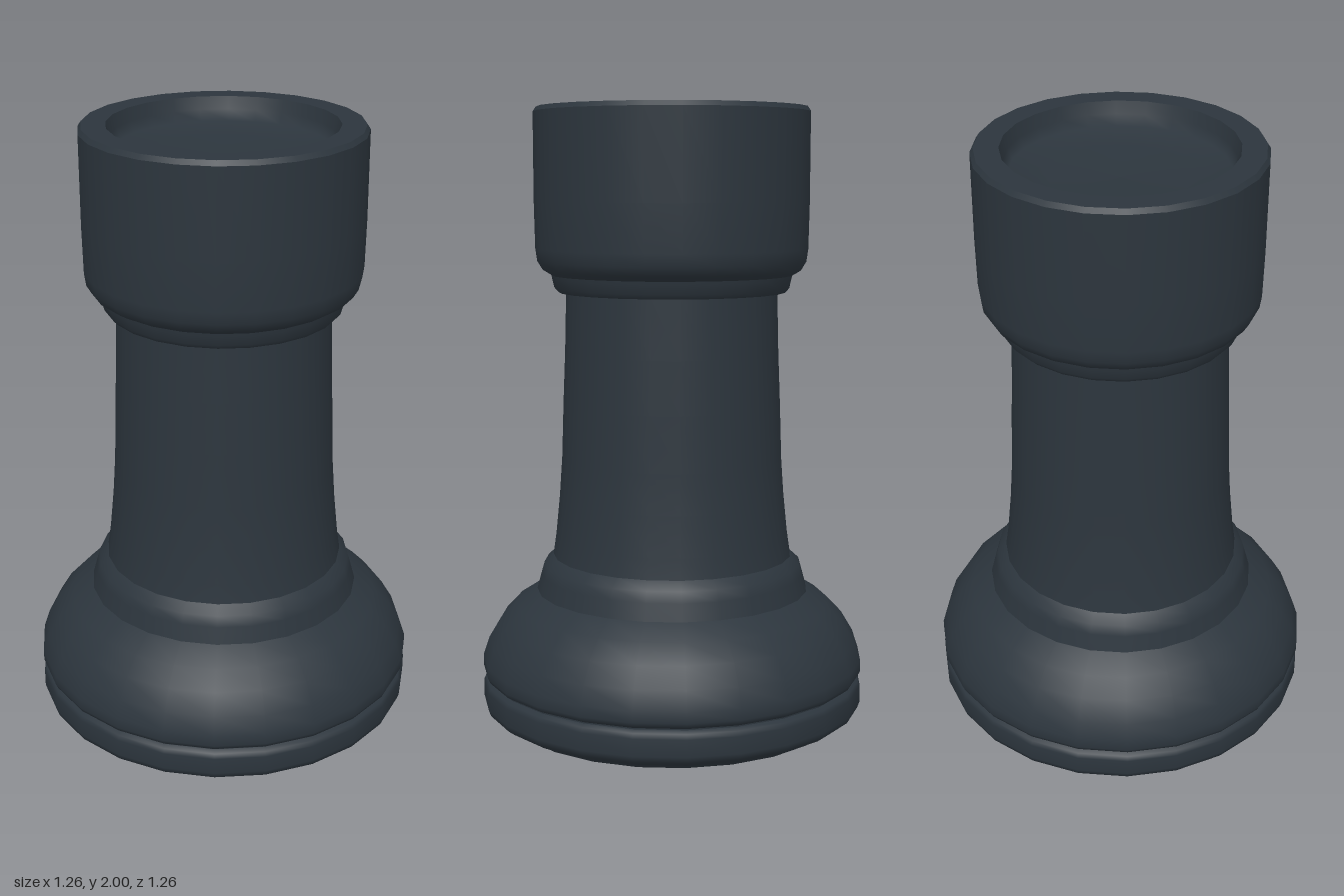
import * as THREE from 'three';

const SIDES = 24;

export function createModel() {
  const group = new THREE.Group();
  group.name = 'rook';
  const slate = new THREE.MeshStandardMaterial({ color: 0x2c353d });
  slate.name = 'dark slate';

  // Each turned section is its own lathe, so normals stay sharp between sections.
  // Profiles are [radius, height], running upward along the outside.
  const turn = (name, profile) => {
    const points = profile.map(([r, y]) => new THREE.Vector2(r, y));
    const mesh = new THREE.Mesh(new THREE.LatheGeometry(points, SIDES), slate);
    mesh.name = name;
    group.add(mesh);
  };

  // Foot: flat underside, recessed step and a rounded disc
  turn('underside', [[0, 0], [0.56, 0]]);
  turn('footStep', [[0.56, 0], [0.58, 0.025]]);
  turn('footLedge', [[0.58, 0.025], [0.605, 0.025]]);
  turn('footDisc', [[0.605, 0.025], [0.625, 0.04], [0.632, 0.06], [0.632, 0.115], [0.625, 0.13], [0.61, 0.138]]);

  // Groove and the domed base above it
  turn('baseGroove', [[0.61, 0.138], [0.61, 0.142]]);
  turn('base', [
    [0.61, 0.142], [0.625, 0.15], [0.632, 0.165], [0.632, 0.2], [0.612, 0.26],
    [0.573, 0.325], [0.52, 0.38], [0.45, 0.425],
  ]);

  // Collar between the base and the tower
  turn('lowerCollar', [[0.45, 0.425], [0.435, 0.48], [0.425, 0.515], [0.395, 0.542]]);

  // Tapered tower
  turn('tower', [
    [0.395, 0.542], [0.385, 0.61], [0.372, 0.74], [0.363, 0.87],
    [0.357, 1.05], [0.35, 1.22], [0.345, 1.41],
  ]);

  // Neck ring under the head
  turn('neckUnderside', [[0.345, 1.41], [0.37, 1.41]]);
  turn('neckRing', [[0.37, 1.41], [0.383, 1.425], [0.39, 1.455], [0.392, 1.465]]);

  // Head with a rounded lower edge and a small bevel at the top
  turn('head', [
    [0.392, 1.465], [0.42, 1.482], [0.437, 1.51], [0.443, 1.55],
    [0.446, 1.7], [0.446, 1.985],
  ]);
  turn('headBevel', [[0.446, 1.985], [0.436, 2]]);
  turn('rim', [[0.436, 2], [0.36, 2]]);

  // Shallow bowl in the top
  turn('bowl', [[0.36, 2], [0.348, 1.96], [0.335, 1.925], [0.22, 1.91], [0, 1.9]]);

  return group;
}
